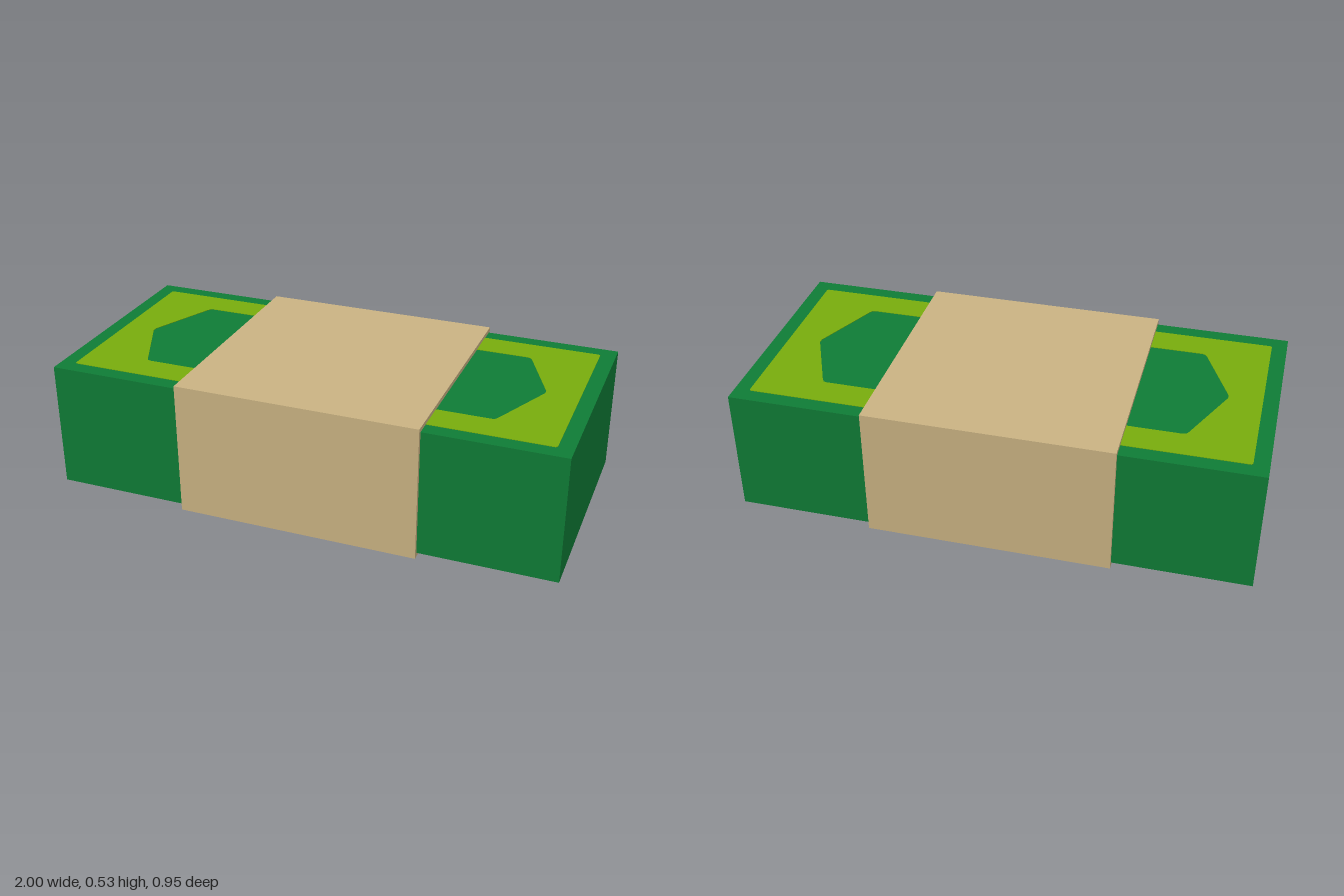
import * as THREE from 'three';

const material = (name, color) => {
  const m = new THREE.MeshStandardMaterial({ color });
  m.name = name;
  return m;
};

// closed outline mirrored from points of one quadrant, running from the +x axis to the +y axis
function mirroredPoints(quadrant) {
  const half = [...quadrant, ...quadrant.map(([x, y]) => [-x, y]).reverse()];
  return [...half, ...half.map(([x, y]) => [x, -y]).reverse()]
    .map(([x, y]) => new THREE.Vector2(x, y));
}

export function createModel() {
  const group = new THREE.Group();
  group.name = 'banknoteBundle';
  const green = material('note green', 0x0f7c36);
  const lime = material('print lime', 0x78ac0c);
  const tan = material('paper tan', 0xc9b282);

  const add = (name, geometry, mat) => {
    const mesh = new THREE.Mesh(geometry, mat);
    mesh.name = name;
    group.add(mesh);
    return mesh;
  };

  const top = 0.516, bottom = 0.017, halfDepth = 0.46, bandHalf = 0.475;

  // stack of notes
  add('noteStack', new THREE.BoxGeometry(2, top - bottom, halfDepth * 2), green)
    .position.y = (top + bottom) / 2;

  // printed frame on the top note, with a six-sided opening
  const frame = new THREE.Shape(mirroredPoints([[0.941, 0.394], [0.935, 0.4]]));
  frame.holes.push(new THREE.Path(mirroredPoints([
    [0.812, 0.01], [0.7, 0.262], [0.692, 0.274], [0.68, 0.278],
  ])));
  const print = add('printedFrame',
    new THREE.ExtrudeGeometry(frame, { depth: 0.002, bevelEnabled: false }), lime);
  print.rotation.x = -Math.PI / 2;
  print.position.y = top;

  // paper band wrapped around the middle
  const middle = (top + bottom) / 2;
  const sleeve = new THREE.Shape(mirroredPoints([[bandHalf, 0.2665], [0, 0.2665]]));
  sleeve.holes.push(new THREE.Path(mirroredPoints([[halfDepth, top - middle], [0, top - middle]])));
  const band = add('paperBand',
    new THREE.ExtrudeGeometry(sleeve, { depth: bandHalf * 2, bevelEnabled: false }), tan);
  band.rotation.y = Math.PI / 2;
  band.position.set(-bandHalf, middle, 0);

  return group;
}
